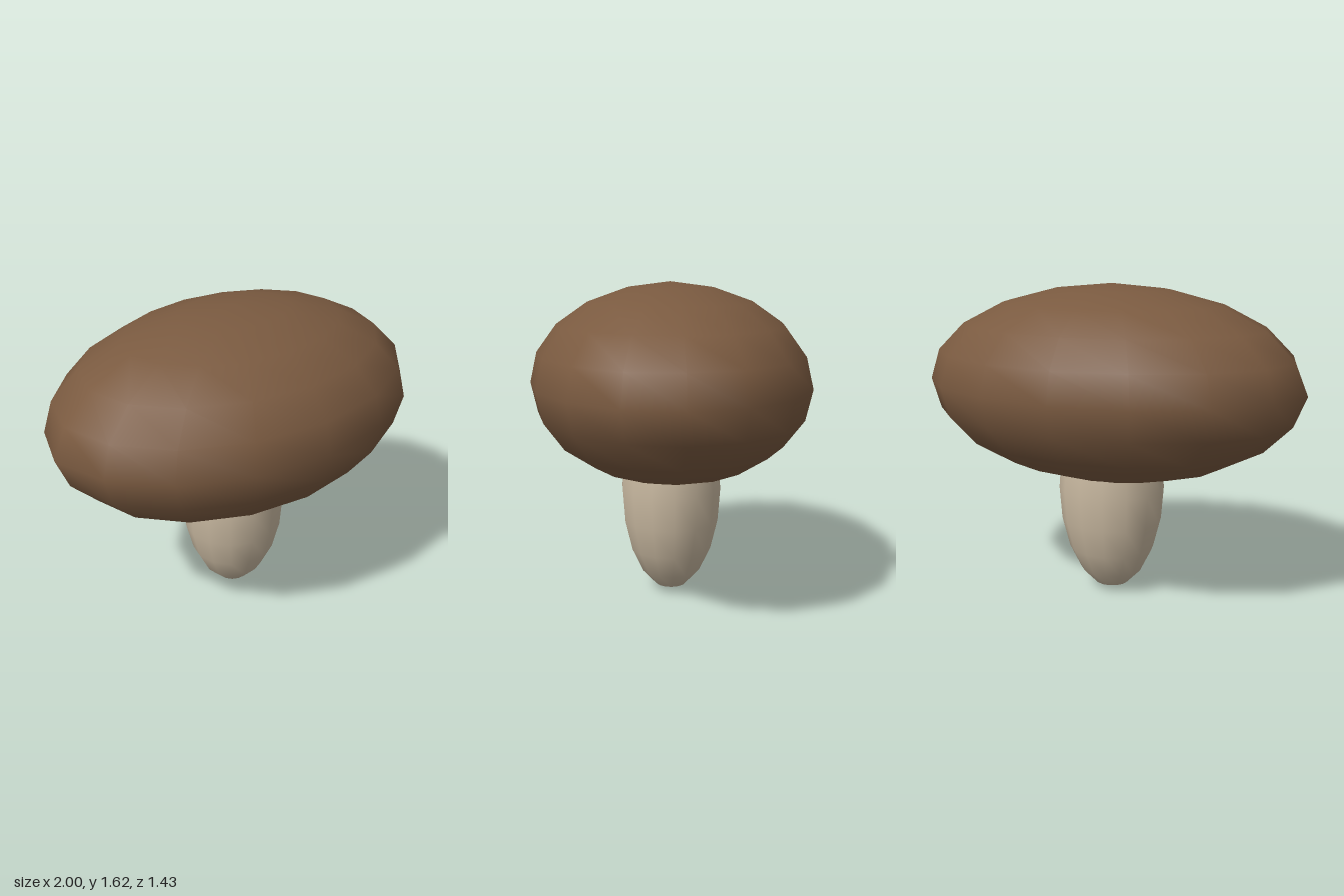
import * as THREE from 'three';

const capColor = new THREE.MeshStandardMaterial({ color: 0x7a5a40 });
capColor.name = 'cap brown';
const stemColor = new THREE.MeshStandardMaterial({ color: 0xc8b8a0 });
stemColor.name = 'stem cream';

// Smooth low-poly ellipsoid; every vertex passes through an optional shaping rule
function ellipsoid(name, material, sides, [rx, ry, rz], [cx, cy, cz], shape = () => {}) {
  const geometry = new THREE.SphereGeometry(1, sides, 10);
  geometry.scale(rx, ry, rz).translate(cx, cy, cz);
  const p = geometry.attributes.position;
  const normals = geometry.attributes.normal;
  const v = new THREE.Vector3();
  for (let i = 0; i < p.count; i++) {
    v.fromBufferAttribute(p, i);
    shape(v);
    p.setXYZ(i, v.x, v.y, v.z);
  }
  normals.needsUpdate = true;
  const mesh = new THREE.Mesh(geometry, material);
  mesh.name = name;
  return mesh;
}

export function createModel() {
  const group = new THREE.Group();
  group.name = 'mushroom';

  // Broad oval cap, leaning very slightly to its left, with a small peak
  const cap = ellipsoid('cap', capColor, 16, [1, 0.5, 0.715], [0, 1.12, 0], (v) => {
    if (Math.abs(v.x) < 0.99) v.x += 0.015;
    if (v.y > 1.615) v.y = 1.625;
  });

  // Egg-shaped stem, its upper half hidden inside the cap
  const stem = ellipsoid('stem', stemColor, 14, [0.28, 0.555, 0.262], [0.015, 0.56, -0.003], (v) => {
    if (v.y < 0.01) v.y = 0;
  });

  group.add(cap, stem);
  return group;
}
